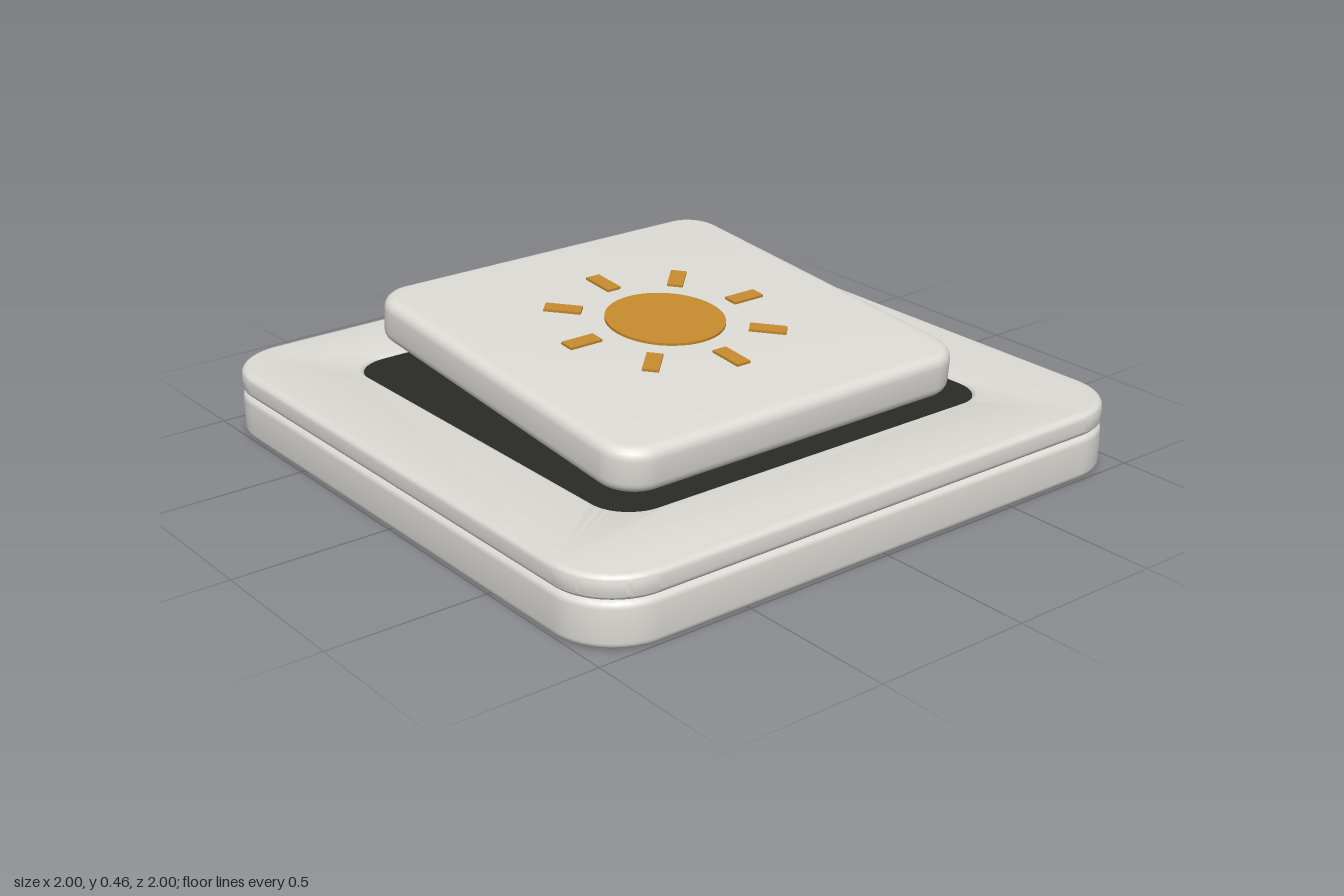
import * as THREE from 'three';
import { toCreasedNormals } from 'three/addons/utils/BufferGeometryUtils.js';

const material = (color) => new THREE.MeshStandardMaterial({ color });

// Rounded square outline, centred on the origin
function roundedSquare(size, radius, Type = THREE.Shape) {
  const h = size / 2, c = h - radius;
  const s = new Type();
  s.moveTo(c, -h);
  s.absarc(c, -c, radius, -Math.PI / 2, 0);
  s.absarc(c, c, radius, 0, Math.PI / 2);
  s.absarc(-c, c, radius, Math.PI / 2, Math.PI);
  s.absarc(-c, -c, radius, Math.PI, Math.PI * 1.5);
  s.closePath();
  return s;
}

// Soft-edged square slab lying flat with its underside at y = 0
function slab(size, radius, height, bevel, hole) {
  const shape = roundedSquare(size - 2 * bevel, radius - bevel);
  if (hole) shape.holes.push(roundedSquare(hole.size + 2 * bevel, hole.radius + bevel, THREE.Path));
  const g = new THREE.ExtrudeGeometry(shape, {
    depth: height - 2 * bevel, bevelEnabled: true, bevelThickness: bevel,
    bevelSize: bevel, bevelSegments: 5, curveSegments: 14,
  });
  g.translate(0, 0, bevel);
  g.rotateX(-Math.PI / 2);
  return toCreasedNormals(g, 0.6);
}

function add(parent, name, geometry, mat, x = 0, y = 0, z = 0) {
  const mesh = new THREE.Mesh(geometry, mat);
  mesh.name = name;
  mesh.position.set(x, y, z);
  parent.add(mesh);
  return mesh;
}

export function createModel() {
  const model = new THREE.Group();
  model.name = 'rockerSwitch';
  const shell = material(0xdddbd5);
  const dark = material(0x2a2a26);
  const amber = material(0xc68a2e);

  // Wall plate: backing, frame with an opening, dark well
  add(model, 'backPlate', slab(2, 0.2, 0.14, 0.022), shell);
  add(model, 'frame', slab(2, 0.2, 0.073, 0.02, { size: 1.4, radius: 0.12 }), shell, 0, 0.14);
  const wellShape = roundedSquare(1.43, 0.135);
  const well = new THREE.ExtrudeGeometry(wellShape, { depth: 0.06, bevelEnabled: false, curveSegments: 14 });
  well.rotateX(-Math.PI / 2);
  add(model, 'well', toCreasedNormals(well, 0.6), dark, 0, 0.142);

  // Tilted rocker, raised at the back
  const rocker = new THREE.Group();
  rocker.name = 'rocker';
  rocker.position.y = 0.338;
  rocker.rotation.x = THREE.MathUtils.degToRad(5);
  model.add(rocker);
  const thickness = 0.138;
  add(rocker, 'rockerPad', slab(1.3, 0.12, thickness, 0.035), shell, 0, -thickness / 2);

  // Sun symbol: disc and eight rays
  const sun = new THREE.Group();
  sun.name = 'sun';
  sun.position.y = thickness / 2;
  rocker.add(sun);
  add(sun, 'sunDisc', new THREE.CylinderGeometry(0.186, 0.186, 0.016, 48), amber);
  const rayGeometry = new THREE.BoxGeometry(0.115, 0.016, 0.05);
  for (let i = 0; i < 8; i++) {
    const a = (i * Math.PI) / 4;
    const ray = add(sun, 'sunRay', rayGeometry, amber, Math.cos(a) * 0.315, 0, -Math.sin(a) * 0.315);
    ray.rotation.y = a;
  }
  return model;
}
